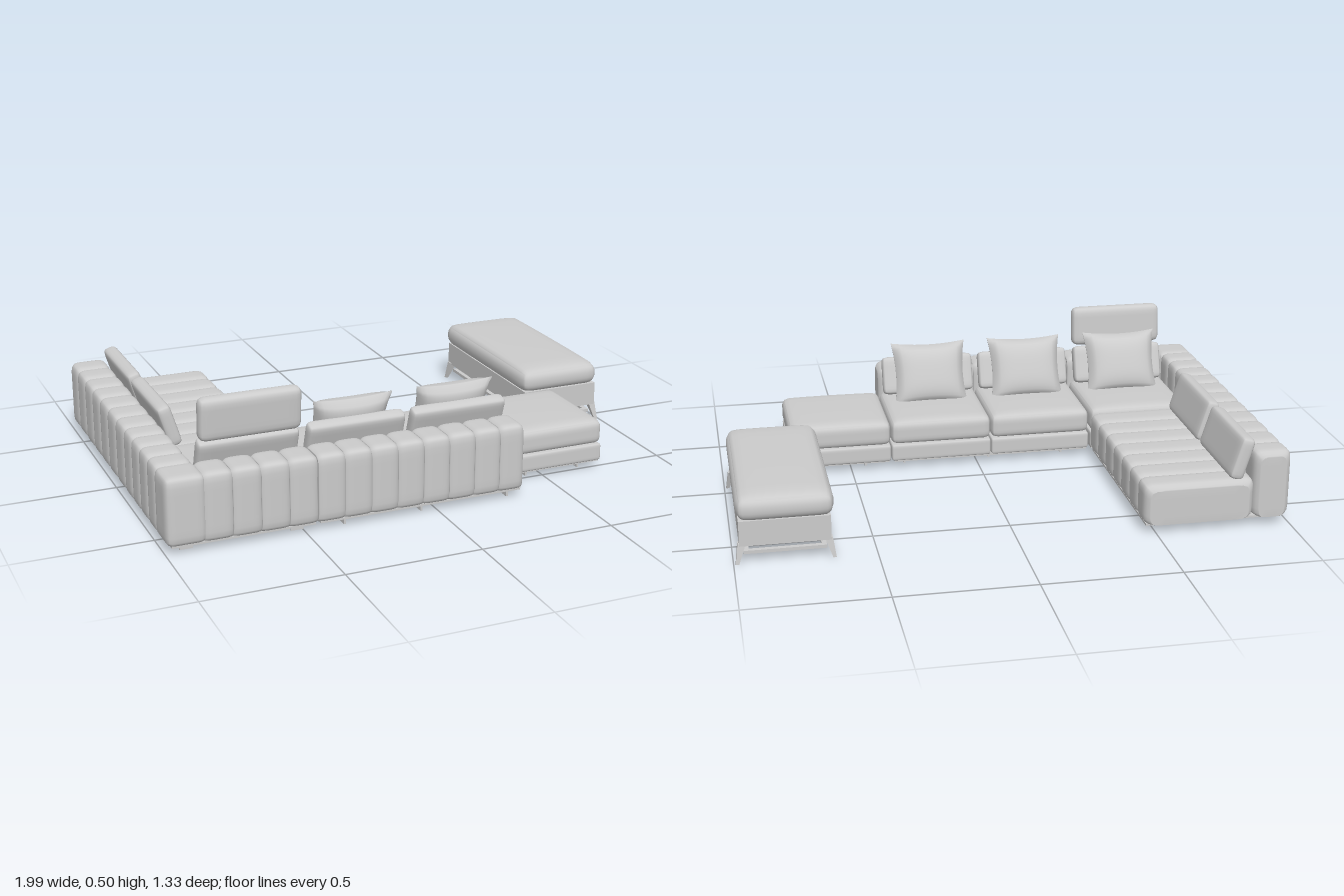
import * as THREE from 'three';
import { mergeVertices } from 'three/addons/utils/BufferGeometryUtils.js';

const grey = new THREE.MeshStandardMaterial({ color: 0xcccccc, side: THREE.DoubleSide });
const clamp = THREE.MathUtils.clamp;

// Box grid over [-1,1]^3 whose vertices are moved by a rule, then smoothed
function shaped(nx, ny, nz, rule) {
  const g = new THREE.BoxGeometry(2, 2, 2, nx, ny, nz);
  g.deleteAttribute('uv');
  g.deleteAttribute('normal');
  const pos = g.attributes.position, v = new THREE.Vector3();
  for (let i = 0; i < pos.count; i++) {
    rule(v.fromBufferAttribute(pos, i));
    pos.setXYZ(i, v.x, v.y, v.z);
  }
  const merged = mergeVertices(g, 1e-5);
  merged.computeVertexNormals();
  return merged;
}

const dense = u => Math.sin(u * Math.PI / 2); // crowds grid lines towards the edges

// Soft rounded block with an optional crowned top
function softBox(w, h, d, r, crown = 0) {
  const half = new THREE.Vector3(w / 2, h / 2, d / 2);
  const inner = half.clone().subScalar(r);
  return shaped(12, 12, 12, v => {
    const swell = v.y > 0 ? crown * (1 - v.x ** 2) * (1 - v.z ** 2) * v.y : 0;
    v.set(dense(v.x), dense(v.y), dense(v.z)).multiply(half);
    const q = v.clone().clamp(inner.clone().negate(), inner);
    v.sub(q).setLength(r).add(q);
    v.y += swell;
  });
}

// One upholstered channel along z, pinched at both seams
function channel(w, h, len, r, pinchA, pinchB) {
  return shaped(12, 12, 12, v => {
    const t = dense(v.z);
    const pinch = (t < 0 ? pinchA : pinchB) * Math.abs(t) ** 5;
    const x = dense(v.x) * w / 2, y = dense(v.y) * h / 2;
    const qx = clamp(x, r - w / 2, w / 2 - r), qy = clamp(y, r - h / 2, h / 2 - r);
    const dx = x - qx, dy = y - qy, l = Math.hypot(dx, dy);
    const k = l > 1e-6 ? r / l : 0;
    const px = qx + dx * k, py = qy + dy * k;
    v.set(px * (1 - 2 * pinch / w), py - pinch * (py / h + 0.5), t * len / 2);
  });
}

// Square throw pillow with pointed corners and thin seams
function pillowGeometry(w, h, t) {
  return shaped(18, 18, 2, v => {
    const { x, y } = v;
    const puff = Math.sqrt(Math.max(0, (1 - x ** 4) * (1 - y ** 4))) * (1 - 0.25 * (x * x + y * y) / 2);
    v.set(x * w / 2 * (1 - 0.09 * (1 - y * y)), y * h / 2 * (1 - 0.09 * (1 - x * x)), v.z * (0.002 + t / 2 * puff));
  });
}

export function createModel() {
  const model = new THREE.Group();

  function add(name, geometry, x, y, z, parent = model) {
    const m = new THREE.Mesh(geometry, grey);
    m.name = name;
    m.position.set(x, y, z);
    parent.add(m);
    return m;
  }
  // Soft or plain block given by its bounds
  const block = (name, x0, x1, y0, y1, z0, z1, r = 0, crown = 0, parent = model) => add(name,
    r ? softBox(x1 - x0, y1 - y0, z1 - z0, r, crown) : new THREE.BoxGeometry(x1 - x0, y1 - y0, z1 - z0),
    (x0 + x1) / 2, (y0 + y1) / 2, (z0 + z1) / 2, parent);

  // Row of channels between a and b along an axis; c0..c1 spans the other axis
  function channelRow(name, axis, a, b, c0, c1, top, count, roundA, roundB) {
    const group = new THREE.Group();
    group.name = name;
    const len = (b - a) / count, h = top - 0.03;
    for (let i = 0; i < count; i++) {
      const pinchA = i === 0 && roundA ? 0.022 : 0.01;
      const pinchB = i === count - 1 && roundB ? 0.022 : 0.01;
      const g = channel(c1 - c0, h, len, 0.028, pinchA, pinchB);
      const s = a + (i + 0.5) * len, c = (c0 + c1) / 2;
      if (axis === 'x') g.rotateY(Math.PI / 2);
      add('channel', g, axis === 'x' ? s : c, 0.03 + h / 2, axis === 'x' ? c : s, group);
    }
    model.add(group);
  }

  // Channelled backs and chaise
  channelRow('sideBack', 'z', -0.67, 0.125, -1, -0.86, 0.282, 7, true, false);
  channelRow('cornerSideBack', 'z', 0.125, 0.525, -1, -0.86, 0.282, 4, false, false);
  channelRow('cornerLongBack', 'x', -0.865, -0.458, 0.52, 0.66, 0.282, 4, false, false);
  channelRow('longBack', 'x', -0.455, 0.34, 0.52, 0.66, 0.282, 8, false, true);
  channelRow('chaiseSeat', 'z', -0.67, 0.125, -0.865, -0.455, 0.182, 7, true, false);
  block('cornerBack', -1, -0.855, 0.03, 0.28, 0.515, 0.66, 0.028);

  // Seat modules
  for (const x of [-0.855, -0.452, -0.054, 0.344]) {
    block('seatBase', x, x + 0.395, 0.03, 0.097, 0.13, 0.52, 0.01);
    block('seatCushion', x, x + 0.395, 0.097, 0.19, 0.128, 0.522, 0.026, 0.008);
  }

  // Underside panels
  block('cornerPanel', -0.98, -0.465, 0.026, 0.034, 0.135, 0.645);
  block('chaisePanel', -0.98, -0.465, 0.026, 0.034, -0.655, 0.115);
  block('doublePanel', -0.445, 0.33, 0.026, 0.034, 0.135, 0.645);
  block('endPanel', 0.352, 0.732, 0.026, 0.034, 0.138, 0.512);

  // Small plate feet
  const foot = (x, z, w, d) => block('foot', x - w / 2, x + w / 2, 0, 0.03, z - d / 2, z + d / 2);
  for (const x of [-0.92, -0.52]) {
    for (const z of [-0.56, 0.08, 0.2, 0.605]) foot(x, z, 0.046, 0.008);
  }
  for (const x of [-0.35, -0.055, 0.285]) {
    for (const z of [0.205, 0.605]) foot(x, z, 0.008, 0.046);
  }
  for (const x of [0.44, 0.66]) {
    for (const z of [0.205, 0.46]) foot(x, z, 0.008, 0.046);
  }

  // Leaning back cushions, throw pillows and headrest
  for (const x of [-0.655, -0.252, 0.144]) {
    add('backCushion', softBox(0.37, 0.152, 0.055, 0.02), x, 0.268, 0.478).rotation.x = 0.33;
    add('throwPillow', pillowGeometry(0.3, 0.26, 0.1), x, 0.288, 0.418).rotation.x = 0.4;
  }
  add('headrest', softBox(0.37, 0.158, 0.06, 0.026), -0.655, 0.422, 0.521).rotation.x = 0.08;
  for (const z of [-0.468, -0.068]) {
    add('chaiseBackCushion', softBox(0.055, 0.162, 0.375, 0.02), -0.82, 0.252, z).rotation.z = 0.3;
  }

  // Free-standing bench
  const bench = new THREE.Group();
  bench.name = 'bench';
  model.add(bench);
  block('benchCushion', 0.646, 0.986, 0.152, 0.242, -0.66, 0.065, 0.04, 0.01, bench);
  // Open frame and the slim rail beneath it
  const ring = (name, x0, x1, y0, y1, z0, z1, t) => {
    for (const x of [x0, x1 - t]) block(name, x, x + t, y0, y1, z0, z1, 0, 0, bench);
    for (const z of [z0, z1 - t]) block(name, x0 + t, x1 - t, y0, y1, z, z + t, 0, 0, bench);
  };
  ring('benchFrame', 0.66, 0.978, 0.065, 0.157, -0.647, 0.055, 0.02);
  ring('benchRail', 0.675, 0.963, 0.028, 0.04, -0.63, 0.038, 0.018);
  block('benchPanel', 0.68, 0.958, 0.085, 0.095, -0.627, 0.035, 0, 0, bench);
  // Splayed tapered legs
  for (const sx of [-1, 1]) {
    for (const sz of [-1, 1]) {
      const leg = shaped(1, 1, 1, v => {
        const s = v.y > 0 ? 0.014 : 0.006, out = v.y > 0 ? 0 : 0.018;
        v.set(v.x * s + sx * out, v.y * 0.036, v.z * s + sz * out);
      }).toNonIndexed();
      leg.computeVertexNormals();
      add('benchLeg', leg, 0.819 + sx * 0.15, 0.036, -0.296 + sz * 0.333, bench);
    }
  }
  return model;
}
